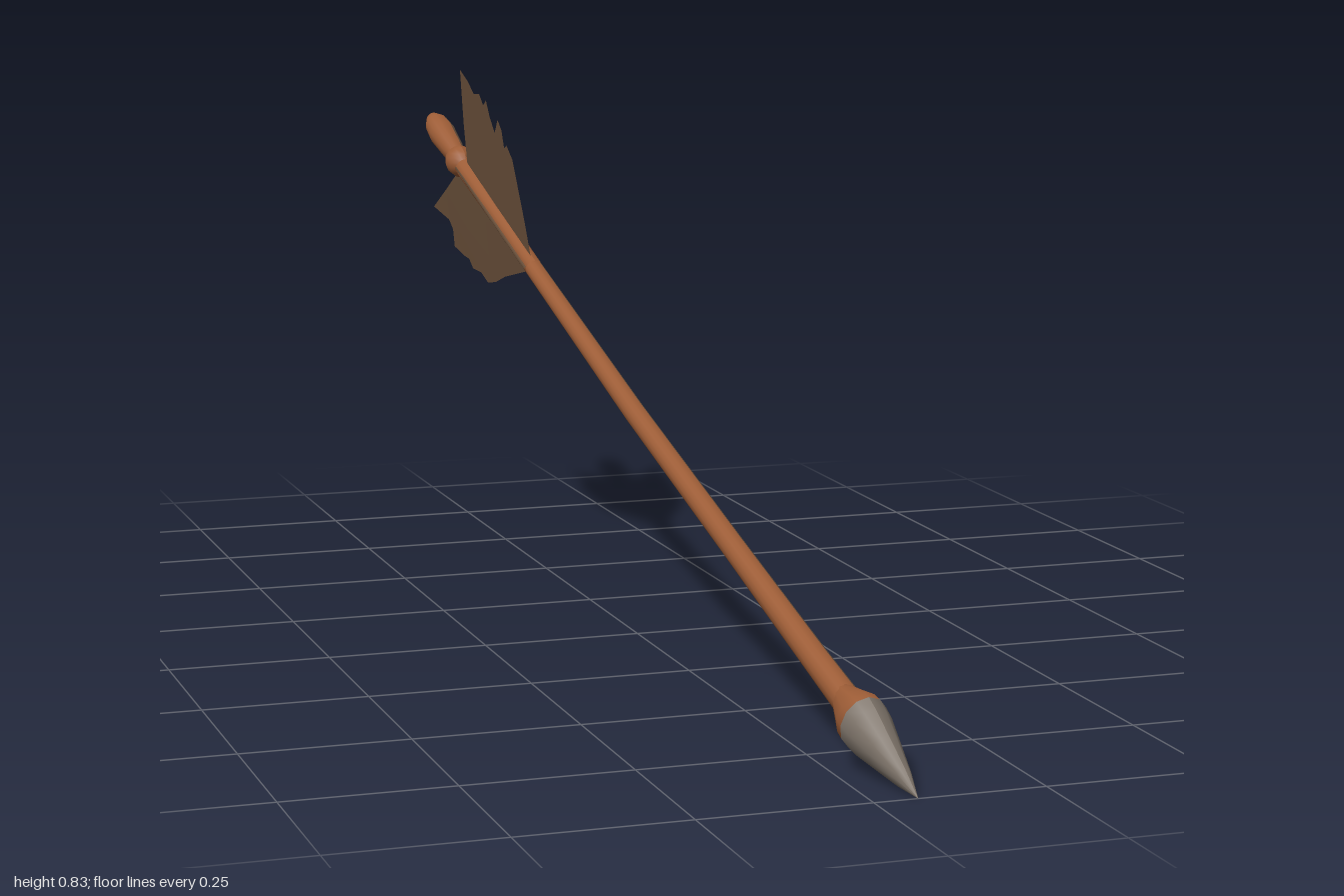
import * as THREE from 'three';

const mat = (name, color, side = THREE.FrontSide) => {
  const m = new THREE.MeshStandardMaterial({ color, side });
  m.name = name;
  return m;
};

// Centre line of the arrow, from tip to nock: [z, x, y]
const PATH = [
  [1, 0.063, 0.004], [0.85, 0.045, 0.07], [0.8, 0.04, 0.088], [0, -0.005, 0.36],
  [-0.47, -0.028, 0.527], [-0.85, -0.05, 0.67], [-1, -0.063, 0.738],
];
function centre(z) {
  let i = 0;
  while (i < PATH.length - 2 && z < PATH[i + 1][0]) i++;
  const [a, b] = [PATH[i], PATH[i + 1]];
  const t = (z - a[0]) / (b[0] - a[0]);
  return new THREE.Vector3(a[1] + (b[1] - a[1]) * t, a[2] + (b[2] - a[2]) * t, z);
}
const AXIS = new THREE.Vector3(-0.063, 0.367, -1).normalize();
const SIDE = new THREE.Vector3(0, 1, 0).cross(AXIS).negate().normalize();
const UP = SIDE.clone().cross(AXIS).normalize();

// Turned section that follows the centre line; stations are [z, radius]
function turned(stations, start, length, segments, width = 1) {
  const geo = new THREE.LatheGeometry(
    stations.map(([z, r]) => new THREE.Vector2(r, -z)), segments, start, length);
  const p = geo.attributes.position;
  for (let i = 0; i < p.count; i++) {
    const v = centre(-p.getY(i))
      .addScaledVector(SIDE, p.getX(i) * width)
      .addScaledVector(UP, p.getZ(i));
    p.setXYZ(i, v.x, v.y, v.z);
  }
  geo.computeVertexNormals();
  return geo;
}

// Flat vane face following the shaft sideways; outline points are [z, y]
function vaneFace(outline, offset, faceLeft) {
  const geo = new THREE.ShapeGeometry(
    new THREE.Shape(outline.map(([z, y]) => new THREE.Vector2(z, y))));
  const p = geo.attributes.position;
  for (let i = 0; i < p.count; i++) {
    const z = p.getX(i);
    p.setXYZ(i, centre(z).x + offset, p.getY(i), z);
  }
  if (faceLeft) geo.index.array.reverse();
  geo.computeVertexNormals();
  return geo;
}

export function createModel() {
  const group = new THREE.Group();
  const warmWood = mat('warm wood', 0x9c5c36);
  const greyWood = mat('weathered wood', 0x745a45);
  const metal = mat('dull metal', 0x7d7369);
  const featherOrange = mat('orange feather', 0xb96c3d);
  const featherBrown = mat('brown feather', 0x654c37);
  const patchBrown = mat('feather patch', 0x8a6144);

  const add = (name, geo, material) => {
    const mesh = new THREE.Mesh(geo, material);
    mesh.name = name;
    group.add(mesh);
  };
  // Warm upper right half and weathered lower left half
  const addHalves = (name, stations, segments, width) => {
    const a = Math.PI / 6;
    add(name + 'Weathered', turned(stations, a, Math.PI, segments, width), greyWood);
    add(name + 'Warm', turned(stations, a + Math.PI, Math.PI, segments, width), warmWood);
  };

  // Shaft, slightly thicker behind the head
  addHalves('shaft', [[0.84, 0.022], [0.7, 0.02], [0.4, 0.018], [0, 0.017], [-0.47, 0.015]], 8);
  add('featheredShaft', turned([[-0.47, 0.015], [-0.65, 0.015], [-0.83, 0.017]],
    0, Math.PI * 2, 14), warmWood);

  // Head: pointed metal front and a socket tapering into the shaft
  add('arrowHead', turned([[1, 0.0005], [0.96, 0.015], [0.91, 0.029], [0.87, 0.04], [0.85, 0.043]].map(
    (s) => s), 0, Math.PI * 2, 12, 0.82), metal);
  addHalves('headSocket', [[0.85, 0.043], [0.835, 0.041], [0.81, 0.03], [0.785, 0.02]], 6, 0.82);

  // Binding ring and rounded nock
  add('bindingRing', turned([[-0.825, 0.016], [-0.835, 0.024], [-0.85, 0.027], [-0.862, 0.024],
    [-0.87, 0.017]], 0, Math.PI * 2, 14), warmWood);
  addHalves('nock', [[-0.86, 0.017], [-0.89, 0.02], [-0.94, 0.024], [-0.97, 0.021],
    [-0.99, 0.012], [-0.997, 0.0005]], 8);

  // Ragged feather vanes above and below the shaft
  const vanes = {
    upperVane: [[-0.47, 0.525], [-0.51, 0.6], [-0.57, 0.7], [-0.6, 0.722], [-0.612, 0.716],
      [-0.625, 0.745], [-0.645, 0.762], [-0.66, 0.738], [-0.685, 0.762], [-0.705, 0.79],
      [-0.72, 0.78], [-0.74, 0.798], [-0.77, 0.796], [-0.8, 0.815], [-0.843, 0.833],
      [-0.825, 0.74], [-0.805, 0.665]],
    lowerVane: [[-0.47, 0.525], [-0.61, 0.495], [-0.66, 0.479], [-0.7, 0.473], [-0.735, 0.486],
      [-0.78, 0.488], [-0.8, 0.502], [-0.83, 0.505], [-0.877, 0.515], [-0.885, 0.545],
      [-0.905, 0.56], [-0.983, 0.575], [-0.92, 0.612], [-0.866, 0.645], [-0.845, 0.67],
      [-0.805, 0.655]],
  };
  for (const [name, outline] of Object.entries(vanes)) {
    add(name + 'Left', vaneFace(outline, 0.002, true), featherOrange);
    add(name + 'Right', vaneFace(outline, -0.002, false), featherBrown);
  }
  // Worn patch on the upper vane
  add('wornPatch', vaneFace([[-0.56, 0.675], [-0.59, 0.71], [-0.63, 0.72], [-0.635, 0.675],
    [-0.605, 0.655]], 0.004, true), patchBrown);

  // Thin raised quill along each side of the vanes
  for (const side of [1, -1]) {
    const pts = [-0.47, -0.65, -0.83].map((z) => centre(z).add(new THREE.Vector3(side * 0.014, 0, 0)));
    add(side > 0 ? 'quillLeft' : 'quillRight',
      new THREE.TubeGeometry(new THREE.CatmullRomCurve3(pts), 8, 0.004, 6), side > 0 ? featherOrange : featherBrown);
  }
  return group;
}
